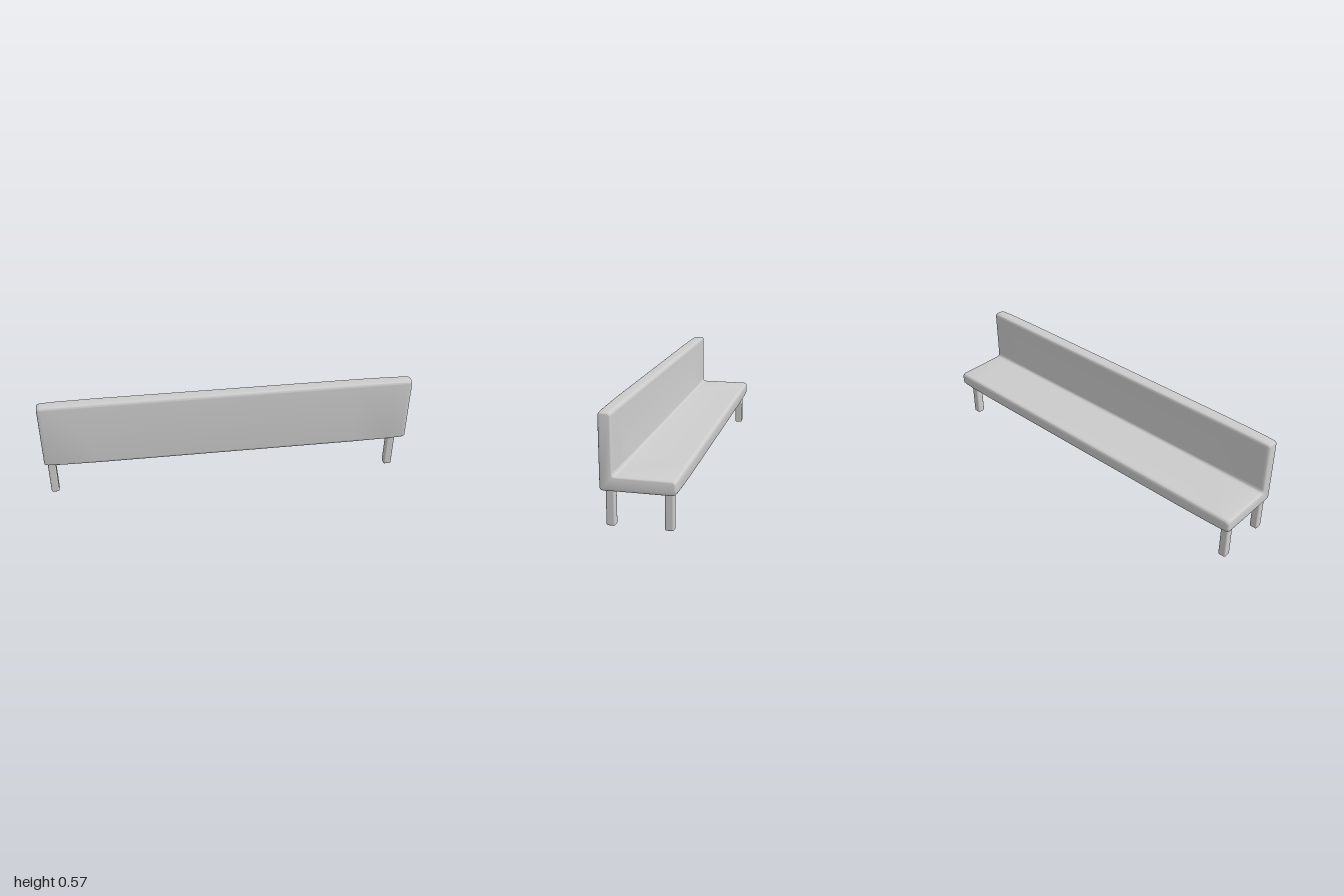
import * as THREE from 'three';
import { toCreasedNormals } from 'three/addons/utils/BufferGeometryUtils.js';
import { RoundedBoxGeometry } from 'three/addons/geometries/RoundedBoxGeometry.js';

const material = new THREE.MeshStandardMaterial({ color: 0xcccccc });

// L-shaped cross-section in (z, y) with rounded corners, shrunk by an inset
function profile(inset) {
  const back = 0.185 - inset, front = -0.185 + inset;
  const bottom = 0.187 + inset, top = 0.566 - inset;
  const inner = 0.113 + inset, seat = 0.267 - inset;
  const corners = [[front, bottom], [back, bottom], [back, top], [inner, top], [inner, seat], [front, seat]]
    .map(([z, y]) => new THREE.Vector2(z, y));
  const radii = [0.02, 0.018, 0.018, 0.018, 0.02, 0.02];
  const points = [];
  corners.forEach((corner, i) => {
    const before = corners[(i + 5) % 6], after = corners[(i + 1) % 6];
    const toward = (p) => p.clone().sub(corner).setLength(radii[i]).add(corner);
    points.push(...new THREE.QuadraticBezierCurve(toward(before), corner, toward(after)).getPoints(6));
  });
  return points;
}

// Lofts the cross-section along x, with ends that taper softly
function benchGeometry() {
  const end = [[1, 0.012], [0.998, 0.008], [0.992, 0.005], [0.98, 0.0035], [0.9, 0.0015], [0.7, 0]];
  const stations = [...end.map(([x, inset]) => [-x, inset]), ...end.slice().reverse()];
  const positions = [], index = [];
  const n = profile(0).length;
  for (const [x, inset] of stations) {
    for (const p of profile(inset)) positions.push(x, p.y, p.x);
  }
  for (let i = 0; i < stations.length - 1; i++) {
    for (let j = 0; j < n; j++) {
      const a = i * n + j, b = i * n + (j + 1) % n;
      index.push(a, a + n, b, b, a + n, b + n);
    }
  }
  // End caps
  const last = (stations.length - 1) * n;
  for (const [a, b, c] of THREE.ShapeUtils.triangulateShape(profile(end[0][1]), [])) {
    index.push(a, b, c, last + a, last + c, last + b);
  }
  const geometry = new THREE.BufferGeometry();
  geometry.setAttribute('position', new THREE.Float32BufferAttribute(positions, 3));
  geometry.setIndex(index);
  return toCreasedNormals(geometry, 0.7);
}

export function createModel() {
  const model = new THREE.Group();
  model.name = 'bench';

  const body = new THREE.Mesh(benchGeometry(), material);
  body.name = 'seatAndBackrest';
  model.add(body);

  // Four legs, the pair at +x set slightly further in
  const legHeight = 0.2;
  const legGeometry = new RoundedBoxGeometry(0.043, legHeight, 0.043, 3, 0.008);
  for (const [side, x] of [['right', -0.963], ['left', 0.925]]) {
    for (const [end, z] of [['Front', 0.147], ['Back', -0.135]]) {
      const leg = new THREE.Mesh(legGeometry, material);
      leg.name = `${side}${end}Leg`;
      leg.position.set(x, legHeight / 2, z);
      model.add(leg);
    }
  }
  return model;
}
